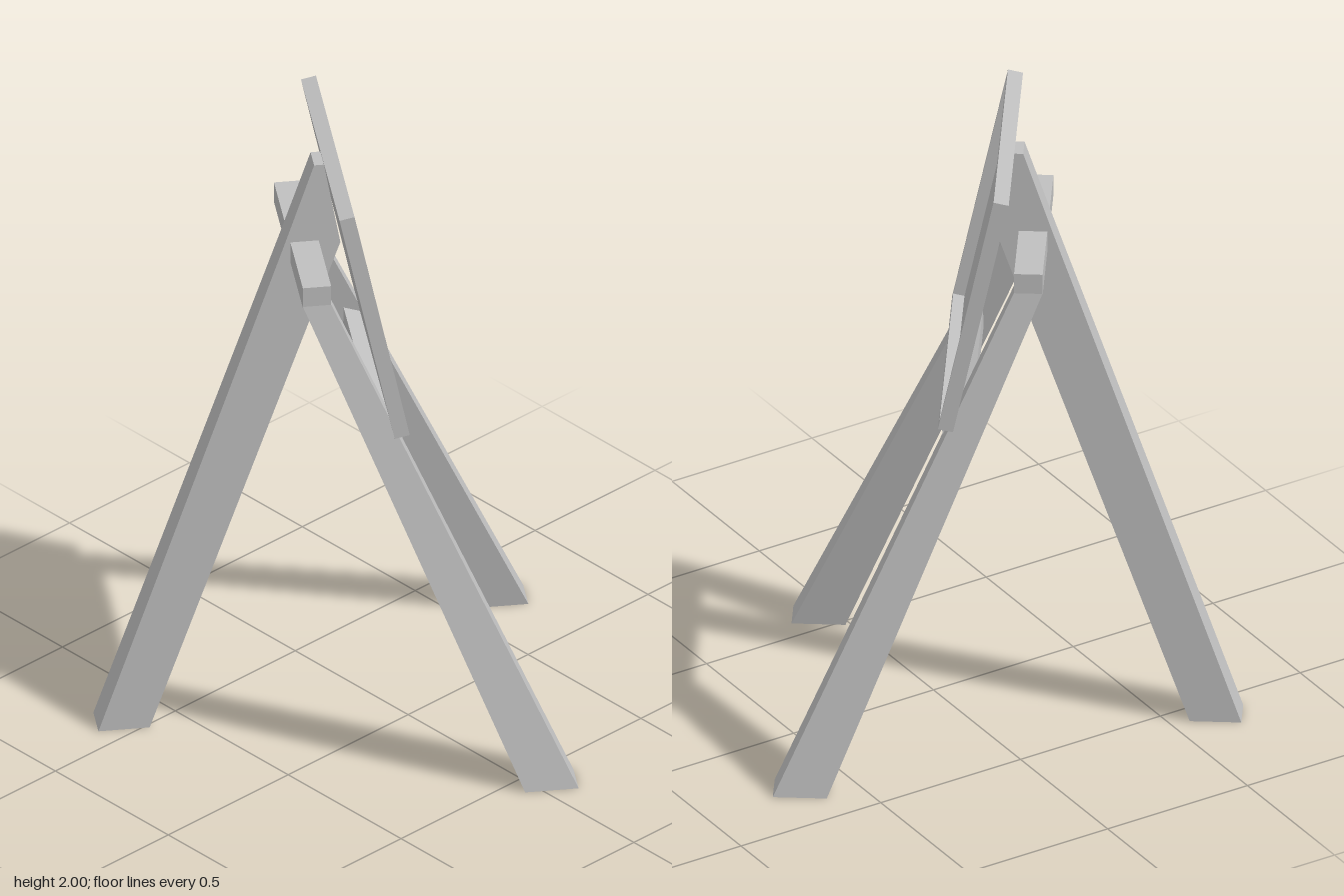
import * as THREE from 'three';

const wood = new THREE.MeshStandardMaterial({ color: 0xbfbfbf });
wood.name = 'plain grey';

// Each section is [y, xMin, xMax, zMin, zMax]; consecutive sections are joined by flat sides.
function loft(name, sections) {
  const rings = sections.map(([y, x0, x1, z0, z1]) => [
    [x0, y, z1], [x1, y, z1], [x1, y, z0], [x0, y, z0],
  ]);
  const pos = [];
  const quad = (a, b, c, d) => [a, b, c, a, c, d].forEach((p) => pos.push(...p));
  for (let r = 0; r < rings.length - 1; r++) {
    const lo = rings[r], hi = rings[r + 1];
    for (let i = 0; i < 4; i++) {
      const j = (i + 1) % 4;
      quad(lo[i], lo[j], hi[j], hi[i]);
    }
  }
  const last = rings[rings.length - 1], first = rings[0];
  quad(last[0], last[1], last[2], last[3]);
  quad(first[3], first[2], first[1], first[0]);
  const geo = new THREE.BufferGeometry();
  geo.setAttribute('position', new THREE.Float32BufferAttribute(pos, 3));
  geo.computeVertexNormals();
  const mesh = new THREE.Mesh(geo, wood);
  mesh.name = name;
  return mesh;
}

function box(name, w, h, d, x, y, z) {
  const mesh = new THREE.Mesh(new THREE.BoxGeometry(w, h, d), wood);
  mesh.name = name;
  mesh.position.set(x, y, z);
  return mesh;
}

// Leaning square board: thin panel set at the back of a raised rim
function makeBoard() {
  const board = new THREE.Group();
  board.name = 'board';
  const size = 0.815, depth = 0.047, rim = 0.02, panel = 0.012;
  const mid = (size - rim) / 2;
  board.add(box('panel', size - 2 * rim, size - 2 * rim, panel, 0, 0, (depth - panel) / 2));
  for (const s of [-1, 1]) {
    board.add(box('sideRim', rim, size, depth, s * mid, 0, 0));
    board.add(box(s > 0 ? 'topRim' : 'bottomRim', size - 2 * rim, rim, depth, 0, s * mid, 0));
  }
  board.position.set(0, 1.595, 0.148);
  board.rotation.x = THREE.MathUtils.degToRad(12);
  return board;
}

// Ledge under the board, its ends following the splay of the legs
function makeLedge() {
  const shape = new THREE.Shape([
    [0.14, 1.143], [0.055, 1.1], [0.045, 1.19], [0.14, 1.225],
  ].map(([z, y]) => new THREE.Vector2(-z, y)));
  const geo = new THREE.ExtrudeGeometry(shape, { depth: 2, bevelEnabled: false });
  geo.translate(0, 0, -1);
  geo.rotateY(Math.PI / 2);
  const p = geo.attributes.position;
  for (let i = 0; i < p.count; i++) {
    // the extrusion runs along x; shape x now lies along -z
    const half = 0.335 - (p.getY(i) - 1.1) * 0.14;
    p.setX(i, Math.sign(p.getX(i)) * half);
  }
  geo.computeVertexNormals();
  const mesh = new THREE.Mesh(geo, wood);
  mesh.name = 'ledge';
  return mesh;
}

export function createModel() {
  const model = new THREE.Group();
  model.name = 'easel';
  const easel = new THREE.Group();
  easel.name = 'turnedEasel';
  const turn = THREE.MathUtils.degToRad(35);
  easel.rotation.y = -turn;
  easel.position.set(-0.095 * Math.cos(turn), 0, -0.095 * Math.sin(turn));
  model.add(easel);

  easel.add(makeBoard(), makeLedge());
  easel.add(box('crossbar', 0.61, 0.07, 0.087, 0, 1.657, 0.31));

  // Prop leg, its upper end cut to lie against the board
  easel.add(loft('propLeg', [
    [0, -0.054, 0.054, 0.787, 0.944],
    [1.68, -0.041, 0.041, 0.2, 0.373],
    [1.96, -0.038, 0.038, 0.25, 0.28],
  ]));

  // Pair of splayed, tapering legs
  for (const s of [-1, 1]) {
    const span = (a, b) => (s > 0 ? [a, b] : [-b, -a]);
    easel.add(loft(s > 0 ? 'leftLeg' : 'rightLeg', [
      [0, ...span(0.477, 0.585), -0.452, -0.288],
      [1.625, ...span(0.247, 0.305), 0.266, 0.353],
    ]));
  }
  return model;
}
